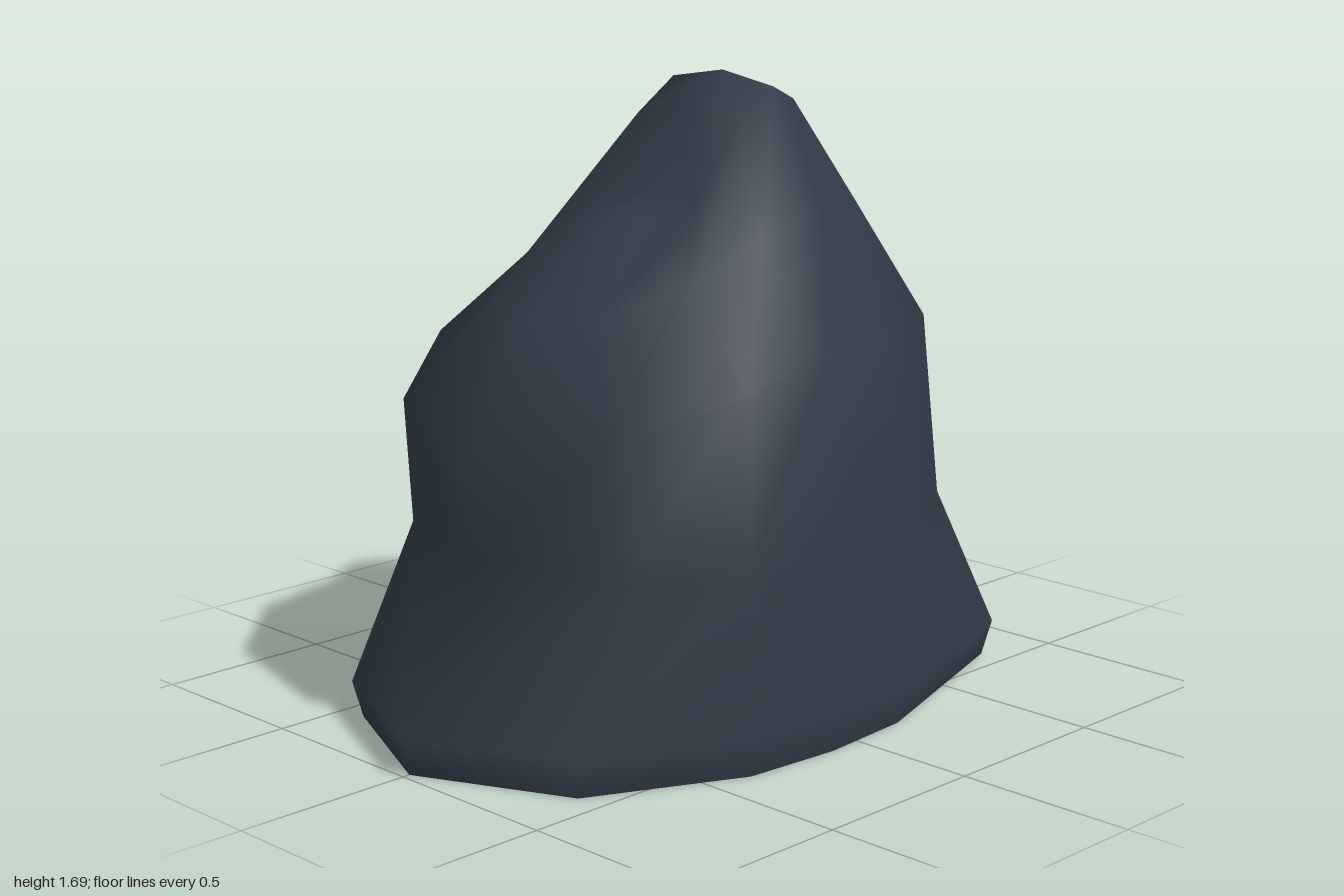
import * as THREE from 'three';
import { mergeVertices } from 'three/addons/utils/BufferGeometryUtils.js';

// Cross-sections from the base to the ridge; each runs from the left (+x)
// to the right (-x) over the front half: x, y and z per column.
const sections = [
  { x: [0.98, 0.79, 0.18, -0.1, -0.38, -0.79, -0.98], y: Array(7).fill(0), z: [0, 0.42, 0.625, 0.645, 0.62, 0.42, 0] },
  { x: [1, 0.81, 0.19, -0.1, -0.39, -0.81, -1], y: Array(7).fill(0.1), z: [0, 0.44, 0.65, 0.67, 0.645, 0.44, 0] },
  { x: [0.745, 0.6, 0.18, -0.1, -0.36, -0.62, -0.745], y: Array(7).fill(0.515), z: [0, 0.4, 0.595, 0.615, 0.59, 0.4, 0] },
  { x: [0.68, 0.55, 0.19, -0.1, -0.36, -0.66, -0.79], y: [1.02, 1.02, 1.03, 1.03, 0.97, 0.86, 0.765], z: [0, 0.38, 0.58, 0.6, 0.58, 0.38, 0] },
  { x: [0.575, 0.47, 0.19, -0.04, -0.28, -0.5, -0.6], y: [1.3, 1.32, 1.35, 1.31, 1.21, 1.13, 1.11], z: [0, 0.2, 0.32, 0.33, 0.31, 0.2, 0] },
  { x: [0.39, 0.3, 0.15, 0.02, -0.12, -0.25, -0.33], y: [1.59, 1.61, 1.66, 1.57, 1.38, 1.33, 1.31], z: [0, 0.12, 0.185, 0.19, 0.17, 0.1, 0] },
  // ridge line along the middle of the top
  { x: [0.39, 0.27, 0.15, 0.01, -0.11, -0.22, -0.33], y: [1.59, 1.64, 1.69, 1.605, 1.4, 1.355, 1.31], z: Array(7).fill(0) },
];

// Front and mirrored back halves, welded so the whole surface shades smoothly.
function rockGeometry() {
  const positions = [];
  const index = [];
  for (const side of [1, -1]) {
    const start = positions.length / 3;
    for (const s of sections) {
      for (let c = 0; c < 7; c++) positions.push(s.x[c], s.y[c], side * s.z[c]);
    }
    for (let r = 0; r < sections.length - 1; r++) {
      for (let c = 0; c < 6; c++) {
        const a = start + r * 7 + c;
        const b = a + 1;
        const d = a + 7;
        const e = a + 8;
        if (side > 0) index.push(a, d, b, b, d, e);
        else index.push(a, b, d, b, e, d);
      }
    }
  }
  const geometry = new THREE.BufferGeometry();
  geometry.setAttribute('position', new THREE.Float32BufferAttribute(positions, 3));
  geometry.setIndex(index);
  const welded = mergeVertices(geometry, 1e-4);
  welded.computeVertexNormals();
  return welded;
}

export function createModel() {
  const group = new THREE.Group();
  group.name = 'boulder';

  // Hollow shell, open underneath
  const slate = new THREE.MeshStandardMaterial({ color: 0x303a46, side: THREE.DoubleSide });
  slate.name = 'dark slate';
  const rock = new THREE.Mesh(rockGeometry(), slate);
  rock.name = 'rockShell';
  group.add(rock);
  return group;
}
